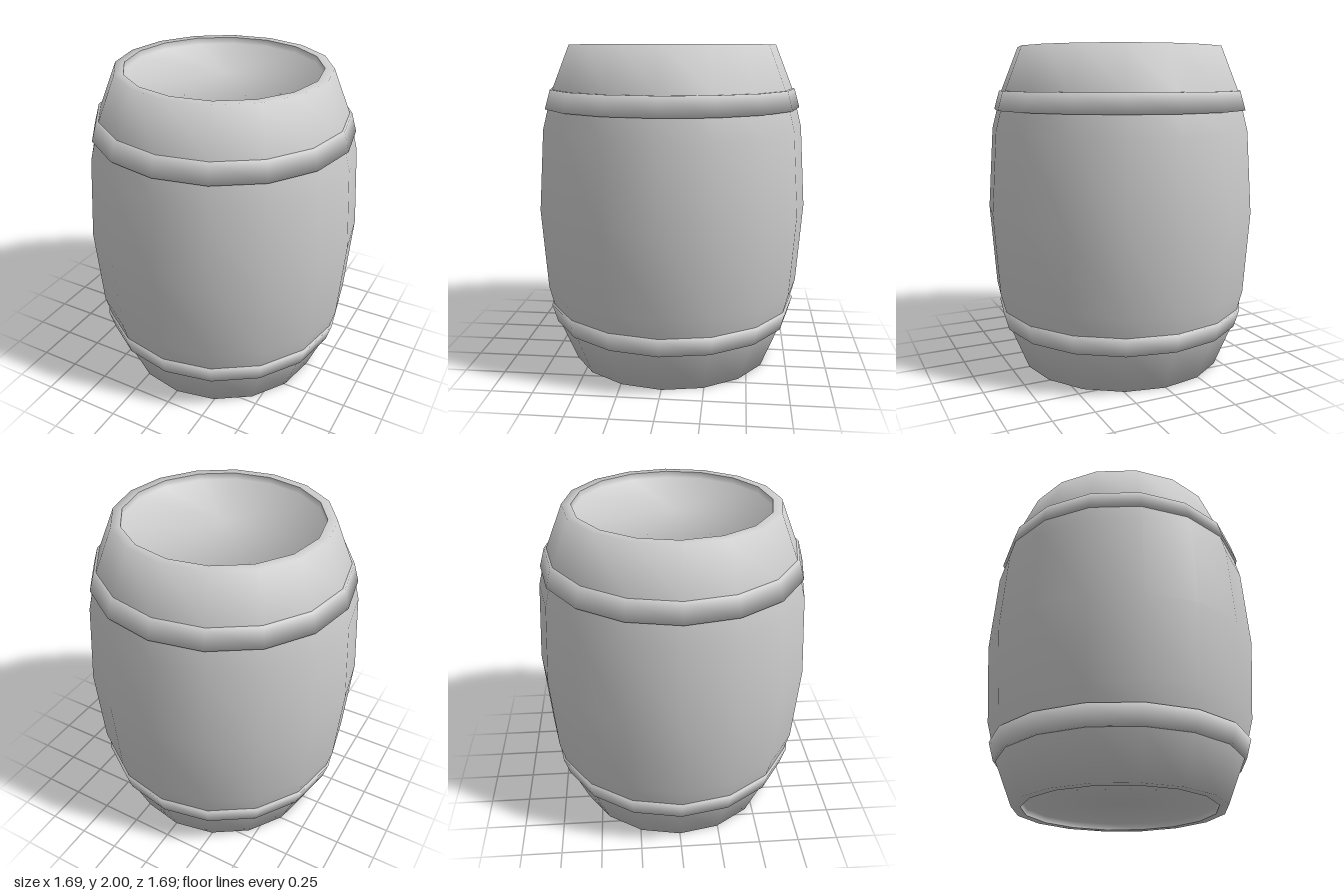
import * as THREE from 'three';

const SIDES = 16;
const material = new THREE.MeshStandardMaterial({ color: 0xcccccc });

// Revolve [radius, height] points (outside runs bottom to top),
// with each normal the even average of its two neighbouring faces
function revolve(name, profile) {
  const points = profile.map(([r, y]) => new THREE.Vector2(r, y));
  const faces = points.slice(1).map((p, i) =>
    new THREE.Vector2(p.y - points[i].y, points[i].x - p.x).normalize());
  const geometry = new THREE.LatheGeometry(points, SIDES);
  const normals = geometry.attributes.normal;
  for (let s = 0; s <= SIDES; s++) {
    const angle = (s / SIDES) * Math.PI * 2;
    points.forEach((p, i) => {
      const n = new THREE.Vector2();
      if (i > 0) n.add(faces[i - 1]);
      if (i < faces.length) n.add(faces[i]);
      n.normalize();
      normals.setXYZ(s * points.length + i, n.x * Math.sin(angle), n.y, n.x * Math.cos(angle));
    });
  }
  const mesh = new THREE.Mesh(geometry, material);
  mesh.name = name;
  return mesh;
}

// Same profile turned over about the middle height
const flip = (profile) => profile.map(([r, y]) => [r, 2 - y]).reverse();

export function createModel() {
  const barrel = new THREE.Group();
  barrel.name = 'barrel';

  // Bulging body with a flat rim at both ends
  const lowerHalf = [[0.585, 0], [0.64, 0], [0.75, 0.27], [0.81, 0.5]];
  barrel.add(revolve('body', [...lowerHalf, [0.845, 1], ...flip(lowerHalf)]));

  // Slightly sunken lids
  const lid = [[0, 0.04], [0.585, 0.04], [0.585, 0]];
  barrel.add(revolve('lowerLid', lid), revolve('upperLid', flip(lid)));

  // Sloping hoops
  const hoop = [[0.74, 1.62], [0.795, 1.62], [0.762, 1.735], [0.74, 1.735]];
  barrel.add(revolve('upperHoop', hoop), revolve('lowerHoop', flip(hoop)));

  return barrel;
}
